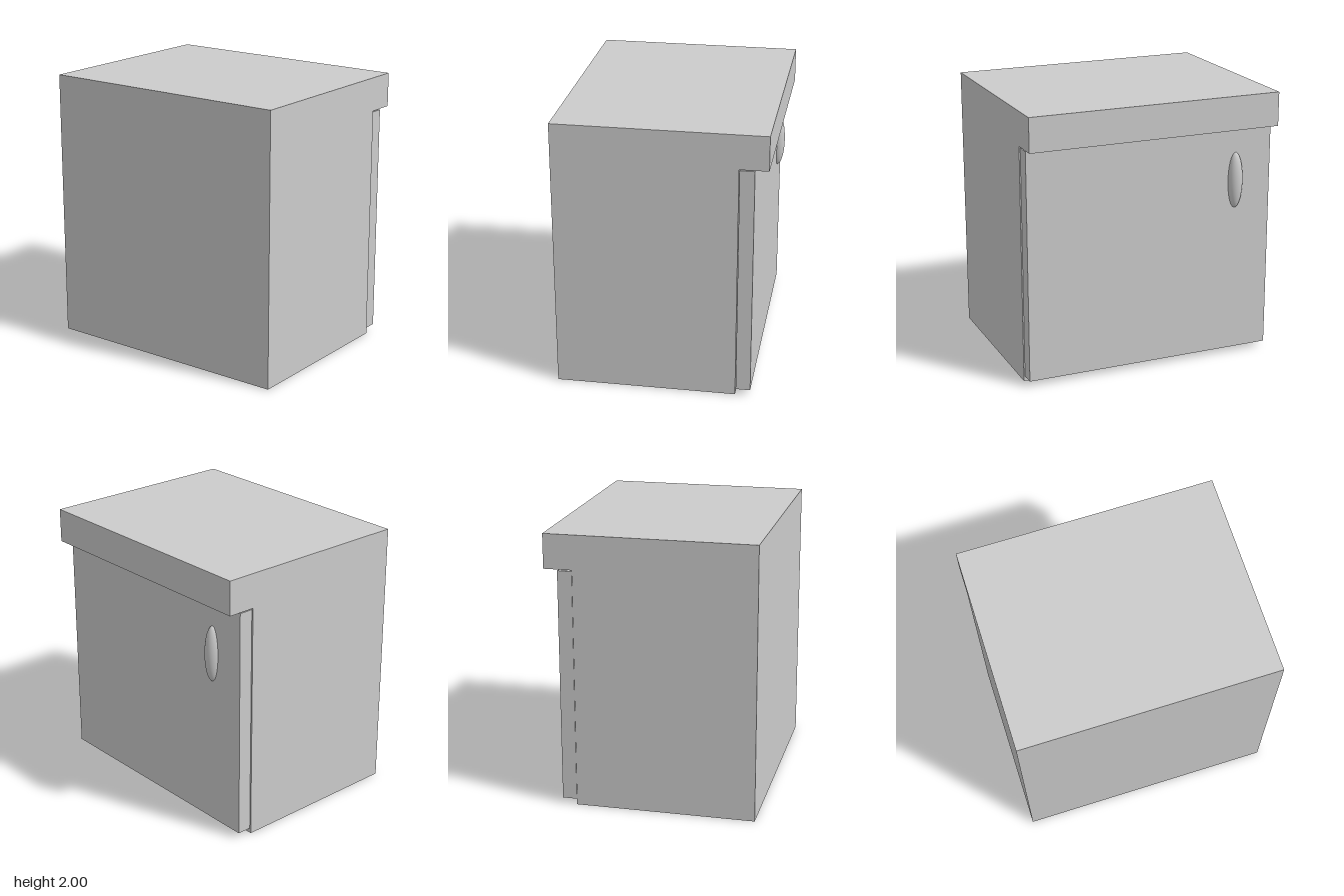
import * as THREE from 'three';

export function createModel() {
  const group = new THREE.Group();
  const material = new THREE.MeshStandardMaterial({ color: 0xcccccc });

  function add(name, geometry, x, y, z) {
    const mesh = new THREE.Mesh(geometry, material);
    mesh.name = name;
    mesh.position.set(x, y, z);
    group.add(mesh);
    return mesh;
  }

  // Cabinet body with a worktop overhanging the door, one side profile run along z
  const depth = 1.9;
  const profile = new THREE.Shape([
    [-0.755, 0], [0.55, 0], [0.55, 1.75], [0.755, 1.75], [0.755, 2], [-0.755, 2],
  ].map(([x, y]) => new THREE.Vector2(x, y)));
  add('cabinetBody', new THREE.ExtrudeGeometry(profile, { depth, bevelEnabled: false }), 0, 0, -depth / 2);

  // Door slab under the overhang, slightly inset from the sides and floor
  add('door', new THREE.BoxGeometry(0.104, 1.7, 1.886), 0.606, 0.89, 0);

  // Oval handle, half sunk into the door
  const handle = add('doorHandle', new THREE.SphereGeometry(1, 32, 24), 0.658, 1.352, -0.662);
  handle.scale.set(0.056, 0.208, 0.056);

  return group;
}
